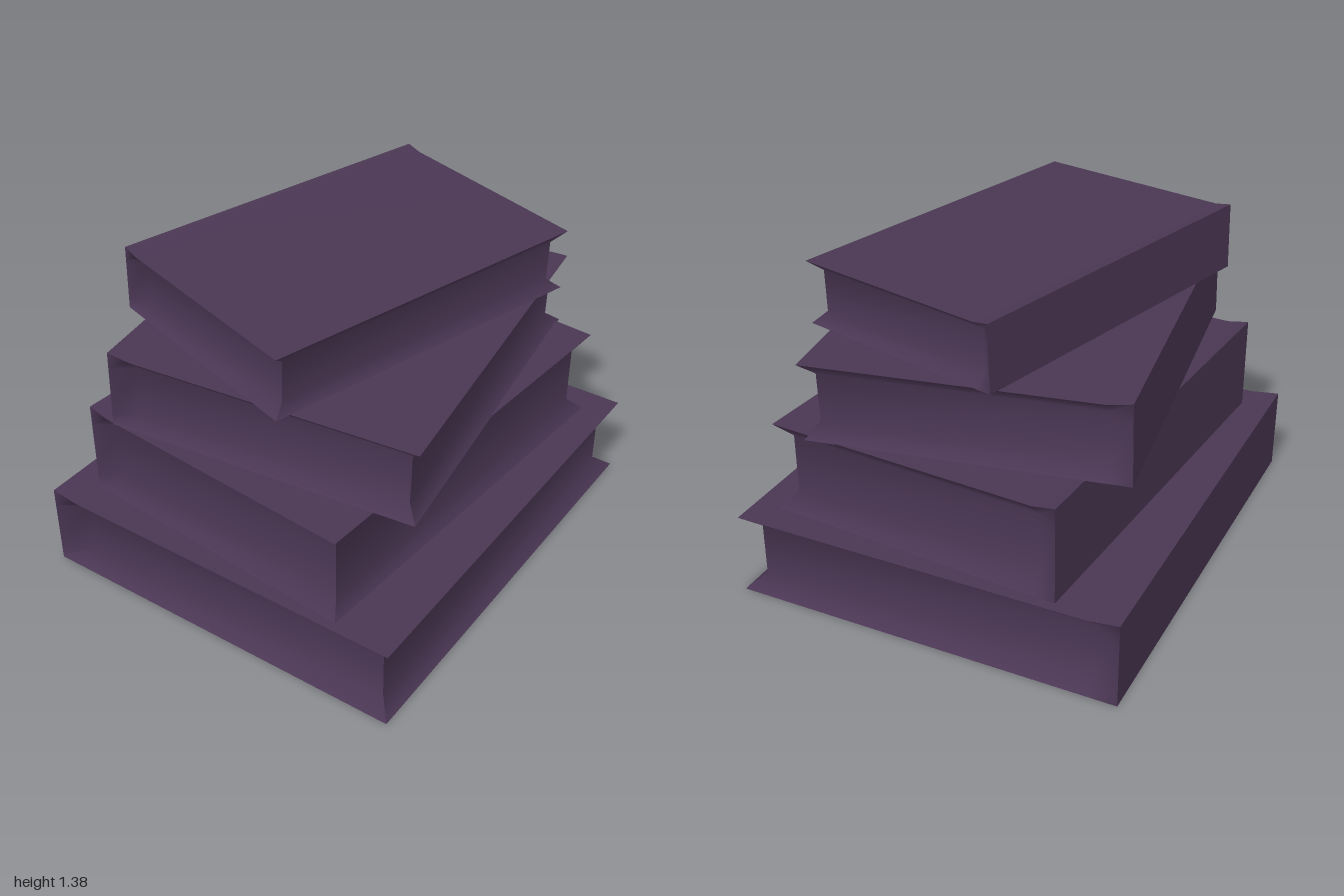
import * as THREE from 'three';
import { mergeGeometries } from 'three/addons/utils/BufferGeometryUtils.js';

// Smooth surface over columns of points; separate grids meet in sharp edges.
// Seen from outside, columns run left to right and points run bottom to top.
function grid(columns) {
  const rows = columns[0].length;
  const index = [];
  for (let i = 0; i < columns.length - 1; i++) {
    for (let j = 0; j < rows - 1; j++) {
      const a = i * rows + j, b = a + rows;
      index.push(a, b, b + 1, a, b + 1, a + 1);
    }
  }
  const geometry = new THREE.BufferGeometry();
  geometry.setAttribute('position', new THREE.Float32BufferAttribute(columns.flat(2), 3));
  geometry.setIndex(index);
  geometry.computeVertexNormals();
  return geometry;
}

// Book with its spine at -x, standing on y = 0, pages recessed on the other three sides
function bookGeometry(w, h, l) {
  const x = w / 2, z = l / 2;
  const hingeX = -x + 0.075 * w;
  const inX = x - 0.038 * w, inZ = z - 0.038 * l;
  const low = 0.16 * h, high = 0.82 * h, spineTop = 1.047 * h;

  // Upright cross-sections at one end (s = 1 front, s = -1 back)
  const spine = s => [0, low, high, spineTop].map(y => [-x, y, s * z]);
  const hinge = s => [[hingeX, 0, s * z], [hingeX, low, s * inZ], [hingeX, high, s * inZ], [hingeX, h, s * z]];
  const fore = s => [[x, 0, s * z], [inX, low, s * inZ], [inX, high, s * inZ], [x, h, s * z]];
  const across = (section, row) => [section(1)[row], section(-1)[row]];

  return mergeGeometries([
    grid([spine(1), hinge(1), fore(1)]), // lower page edge
    grid([fore(1), fore(-1)]), // fore edge
    grid([fore(-1), hinge(-1), spine(-1)]), // upper page edge
    grid([spine(-1), spine(1)]), // spine
    grid([across(spine, 3), across(hinge, 3), across(fore, 3)]), // front cover
    grid([across(fore, 0), across(hinge, 0), across(spine, 0)]), // back cover
  ]);
}

export function createModel() {
  const model = new THREE.Group();
  model.name = 'bookStack';
  const material = new THREE.MeshStandardMaterial({ color: 0x4a3653 });

  const books = [
    { name: 'bottomBook', size: [1.633, 0.345, 1.888], at: [0, 0, 0], turn: 0.066, tiltZ: 0, tiltX: 0 },
    { name: 'secondBook', size: [1.255, 0.385, 1.73], at: [0.005, 0.351, -0.005], turn: -0.014, tiltZ: -0.006, tiltX: 0.002 },
    { name: 'thirdBook', size: [1.282, 0.32, 1.543], at: [0.002, 0.747, -0.004], turn: 0.208, tiltZ: -0.027, tiltX: 0 },
    { name: 'topBook', size: [0.94, 0.26, 1.452], at: [0, 1.092, -0.003], turn: -0.208, tiltZ: -0.025, tiltX: -0.008 },
  ];
  for (const { name, size, at, turn, tiltZ, tiltX } of books) {
    const book = new THREE.Mesh(bookGeometry(...size), material);
    book.name = name;
    book.position.set(...at);
    book.rotation.set(tiltX, turn, tiltZ, 'YXZ');
    model.add(book);
  }
  return model;
}
